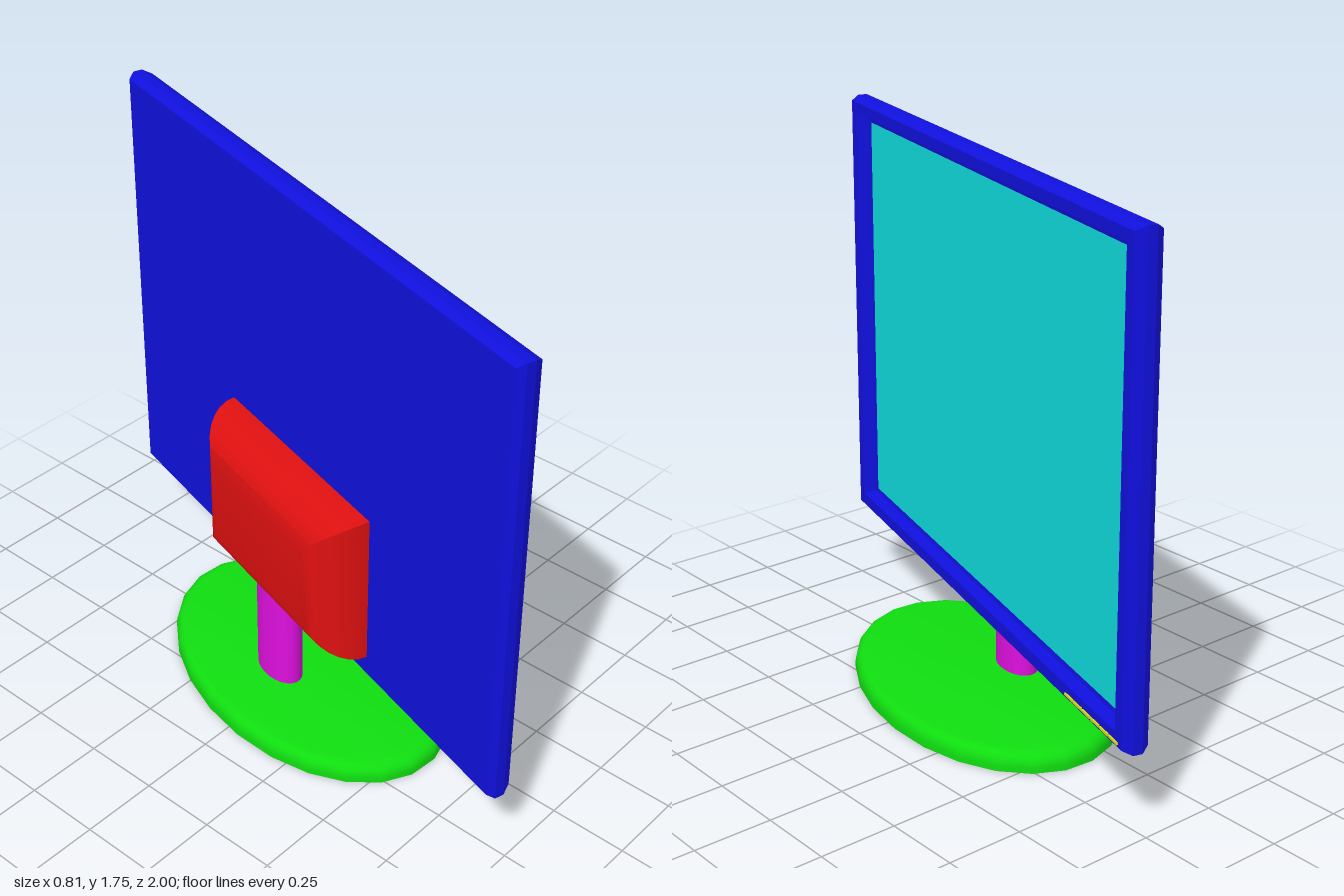
import * as THREE from 'three';
import { toCreasedNormals } from 'three/addons/utils/BufferGeometryUtils.js';

const mat = (color) => new THREE.MeshStandardMaterial({ color });
const BLUE = mat(0x1010dd), GREEN = mat(0x10dd10), RED = mat(0xdd1010);
const MAGENTA = mat(0xdd10dd), CYAN = mat(0x10dddd), YELLOW = mat(0xdddd10);

// Skin rectangular rings [halfWidth, bottom, top, z], ordered from back to front; the back is capped
function loftRects(rings, crease) {
  const pos = [], index = [];
  for (const [w, b, t, z] of rings) pos.push(-w, b, z, w, b, z, w, t, z, -w, t, z);
  for (let i = 0; i < rings.length - 1; i++) {
    for (let j = 0; j < 4; j++) {
      const a = i * 4 + j, c = i * 4 + (j + 1) % 4;
      index.push(a, c, c + 4, a, c + 4, a + 4);
    }
  }
  index.push(0, 2, 1, 0, 3, 2);
  const g = new THREE.BufferGeometry();
  g.setAttribute('position', new THREE.Float32BufferAttribute(pos, 3));
  g.setIndex(index);
  return toCreasedNormals(g, crease);
}

export function createModel() {
  const model = new THREE.Group();
  model.name = 'monitor';

  // Everything is built facing +z, then swivelled
  const body = new THREE.Group();
  body.name = 'swivelledMonitor';
  body.rotation.y = THREE.MathUtils.degToRad(73.8);
  model.add(body);

  const add = (name, geometry, material, x = 0, y = 0, z = 0) => {
    const mesh = new THREE.Mesh(geometry, material);
    mesh.name = name;
    mesh.position.set(x, y, z);
    body.add(mesh);
    return mesh;
  };

  // Frame: chamfered shell, front lip and stepped recess around the screen
  add('frame', loftRects([
    [1.02, 0.285, 1.735, -0.041],
    [1.035, 0.27, 1.75, -0.018],
    [1.035, 0.27, 1.75, 0.012],
    [1.02, 0.285, 1.735, 0.041],
    [0.98, 0.325, 1.7, 0.041],
    [0.965, 0.335, 1.69, 0.004],
    [0.945, 0.35, 1.67, 0.001],
  ], 0.2), BLUE);

  // Screen fills the recess
  add('screen', new THREE.PlaneGeometry(1.89, 1.32), CYAN, 0, 1.01, 0.001);

  // Row of thin buttons on the lower bezel
  for (let i = 0; i < 6; i++) {
    add('button', new THREE.BoxGeometry(0.05, 0.008, 0.012), YELLOW, 0.7 + i * 0.055, 0.297, 0.04);
  }

  // Rear housing: quarter-round on all four sides
  const rings = [], steps = 8;
  for (let i = 0; i <= steps; i++) {
    const a = (i / steps) * Math.PI / 2, inset = 1 - Math.sin(a);
    rings.push([0.395 - 0.15 * inset, 0.35 + 0.12 * inset, 0.87 - 0.14 * inset, -0.041 - 0.157 * Math.cos(a)]);
  }
  add('rearHousing', loftRects(rings, 0.6), RED);

  // Oval stem
  const stem = add('stem', new THREE.CylinderGeometry(1, 1, 0.46, 24, 1, true), MAGENTA, 0, 0.23, -0.115);
  stem.scale.set(0.0995, 1, 0.0605);

  // Oval foot with a rounded upper edge
  const profile = [[0, 0], [1, 0], [1, 0.018]];
  for (let i = 1; i <= 5; i++) {
    const a = (i / 5) * Math.PI / 2;
    profile.push([0.92 + 0.08 * Math.cos(a), 0.018 + 0.042 * Math.sin(a)]);
  }
  profile.push([0, 0.06]);
  const footGeometry = new THREE.LatheGeometry(profile.map(([r, y]) => new THREE.Vector2(r, y)), 24);
  footGeometry.scale(0.601, 1, 0.384);
  add('foot', toCreasedNormals(footGeometry, 0.7), GREEN);

  return model;
}
